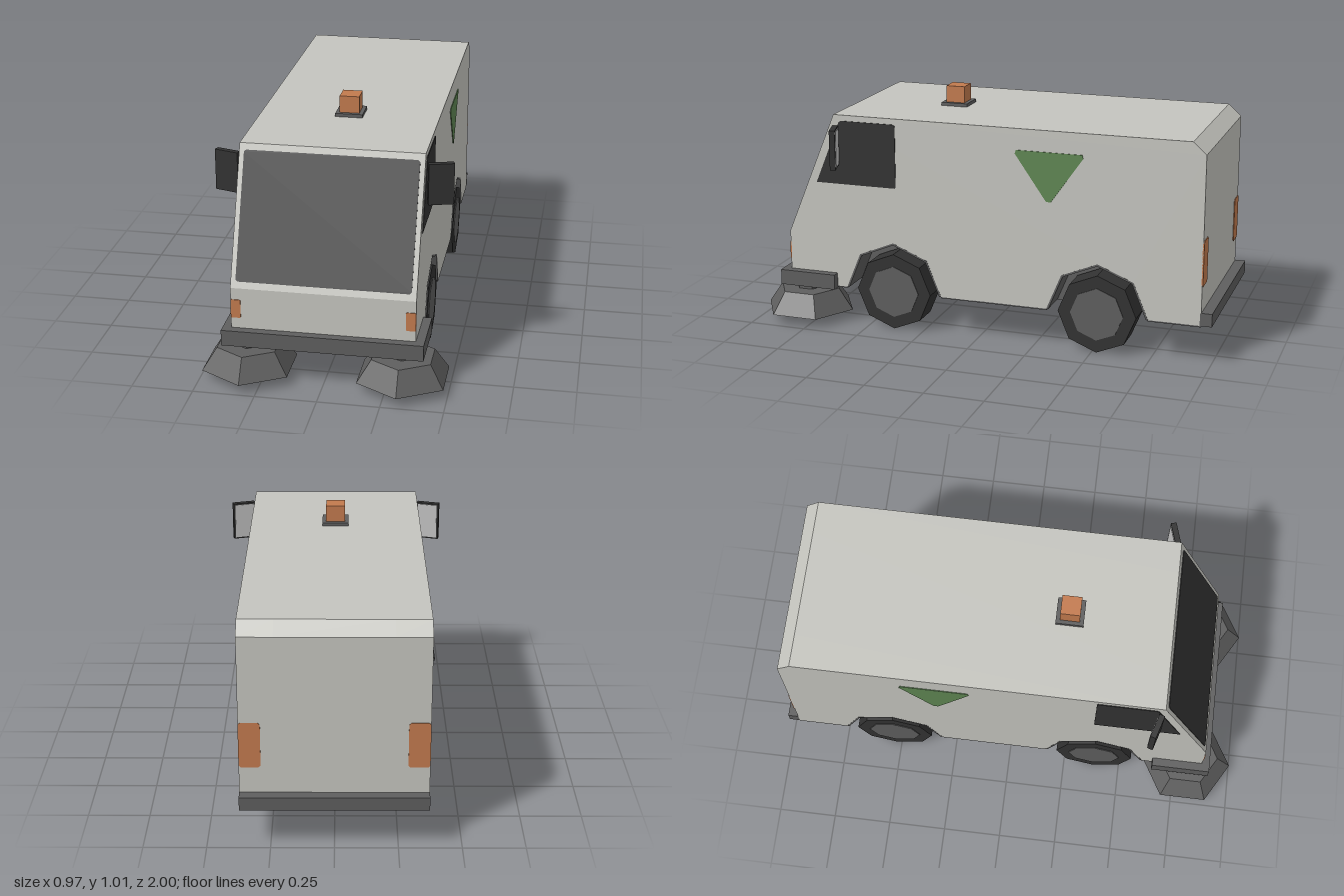
import * as THREE from 'three';

const mat = (name, color, extra = {}) => new THREE.MeshStandardMaterial({ name, color, ...extra });

export function createModel() {
  const M = {
    body: mat('body paint', 0xc4c4be),
    trim: mat('grey trim', 0x5e5e5e),
    dark: mat('dark glass and rubber', 0x323232),
    orange: mat('orange lamp', 0xc27a4e),
    green: mat('green marking', 0x5e8552),
    mirror: mat('mirror glass', 0xc0c0c0),
  };
  const root = new THREE.Group();
  const add = (name, geo, material, parent = root) => {
    const mesh = new THREE.Mesh(geo, material);
    mesh.name = name;
    parent.add(mesh);
    return mesh;
  };
  const box = (x0, x1, y0, y1, z0, z1) =>
    new THREE.BoxGeometry(x1 - x0, y1 - y0, z1 - z0)
      .translate((x0 + x1) / 2, (y0 + y1) / 2, (z0 + z1) / 2);
  const shapeOf = (pts) => new THREE.Shape(pts.map(([a, b]) => new THREE.Vector2(a, b)));
  // Side profile of [z, y] points, extruded across x
  const profile = (pts, x0, x1) =>
    new THREE.ExtrudeGeometry(shapeOf(pts), { depth: x1 - x0, bevelEnabled: false })
      .rotateY(-Math.PI / 2).translate(x1, 0, 0);
  // Thin rectangular plate with clipped corners, facing z
  const panel = (w, h, c = 0.008) => {
    const a = w / 2, b = h / 2;
    return new THREE.ExtrudeGeometry(shapeOf([
      [-a + c, -b], [a - c, -b], [a, -b + c], [a, b - c],
      [a - c, b], [-a + c, b], [-a, b - c], [-a, -b + c],
    ]), { depth: 0.006, bevelEnabled: false }).translate(0, 0, -0.003);
  };
  // Faceted cylinder or cone
  const facet = (rTop, rBottom, h, sides) => {
    const g = new THREE.CylinderGeometry(rTop, rBottom, h, sides).toNonIndexed();
    g.computeVertexNormals();
    return g;
  };

  const W = 0.37, inner = 0.23, floorY = 0.17;
  const axles = [0.38, -0.52];
  // Half octagon over an axle, running from the rear end to the front end
  const arch = (z, r) => [0, 1, 2, 3, 4].map((i) => {
    const a = Math.PI - i * Math.PI / 4;
    return [z + r * Math.cos(a), floorY + r * Math.sin(a)];
  });

  // Body: full centre section, and outer sections notched for the wheels
  const outline = [[0.86, floorY], [0.86, 0.4], [0.64, 0.93], [-0.9, 0.93], [-0.955, 0.88], [-0.955, floorY]];
  const notched = [...outline, ...arch(axles[1], 0.215), ...arch(axles[0], 0.215)];
  add('bodyCentre', profile(outline, -inner, inner), M.body);
  add('bodyLeft', profile(notched, inner, W), M.body);
  add('bodyRight', profile(notched, -W, -inner), M.body);

  // Underside plates
  add('underside', box(-inner, inner, 0.165, 0.171, -0.955, 0.86), M.trim);
  for (const s of [1, -1]) {
    for (const [z0, z1] of [[-0.955, -0.735], [-0.305, 0.165], [0.595, 0.86]]) {
      add('undersideEdge', box(Math.min(s * inner, s * W), Math.max(s * inner, s * W), 0.165, 0.171, z0, z1), M.trim);
    }
  }

  // Windscreen on the sloping nose
  const lean = Math.atan2(0.22, 0.53);
  const screen = add('windscreen', panel(0.7, 0.52), M.dark);
  screen.rotation.x = -lean;
  screen.position.set(0, 0.665, 0.75);

  // Parts repeated on both sides
  for (const s of [1, -1]) {
    const across = (pts, a, b) => profile(pts, Math.min(s * a, s * b), Math.max(s * a, s * b));

    add('sideWindow', across([[0.725, 0.63], [0.615, 0.9], [0.605, 0.905], [0.367, 0.905], [0.362, 0.9], [0.362, 0.635], [0.367, 0.63]], 0.367, 0.373), M.dark);
    add('sideTriangle', across([[-0.17, 0.84], [-0.165, 0.825], [-0.3, 0.632], [-0.32, 0.632], [-0.455, 0.825], [-0.45, 0.84]], 0.367, 0.373), M.green);

    // Wheels and wheel wells
    for (const z of axles) {
      add('wheelWell', across([...arch(z, 0.217), ...arch(z, 0.208).reverse()], inner, 0.3705), M.trim);
      add('wheelWellWall', across(arch(z, 0.215), 0.226, 0.233), M.trim);
      const wheel = new THREE.Group();
      wheel.name = 'wheel';
      add('tyre', facet(0.167, 0.167, 0.125, 8).rotateZ(Math.PI / 2), M.dark, wheel);
      add('hub', facet(0.113, 0.113, 0.006, 8).rotateZ(Math.PI / 2).translate(s * 0.063, 0, 0), M.trim, wheel);
      wheel.position.set(s * 0.3075, 0.17, z);
      root.add(wheel);
    }

    // Door mirror, swept back, with glass facing the rear
    const mirror = new THREE.Group();
    mirror.name = 'doorMirror';
    add('mirrorHousing', new THREE.BoxGeometry(0.102, 0.17, 0.024), M.dark, mirror);
    add('mirrorGlass', new THREE.BoxGeometry(0.088, 0.156, 0.005).translate(0, 0, -0.012), M.mirror, mirror);
    mirror.rotation.y = s * 0.29;
    mirror.position.set(s * 0.4275, 0.8, 0.615);
    root.add(mirror);

    // Corner lamps
    add('frontLamp', panel(0.04, 0.078, 0.003).translate(s * 0.35, 0.312, 0.86), M.orange);
    add('rearLamp', panel(0.085, 0.19).translate(s * 0.3275, 0.43, -0.955), M.orange);

    // Sweeping brush
    const brush = new THREE.Group();
    brush.name = 'sweepingBrush';
    add('brushCone', facet(0.136, 0.2, 0.092, 6).translate(0, 0.091, 0), M.trim, brush);
    add('brushNeck', facet(0.06, 0.06, 0.04, 6).translate(0, 0.15, 0), M.trim, brush);
    brush.position.set(s * 0.3125, 0, 0.8);
    root.add(brush);
  }

  // Bumpers
  add('frontBumper', box(-0.405, 0.405, 0.162, 0.228, 0.642, 0.895), M.trim);
  add('rearBumper', box(-W, W, 0.17, 0.225, -1, -0.95), M.trim);

  // Roof beacon
  add('beaconBase', box(-0.057, 0.057, 0.928, 0.944, 0.155, 0.271), M.trim);
  add('beacon', box(-0.041, 0.041, 0.944, 1.015, 0.172, 0.254), M.orange);

  return root;
}
